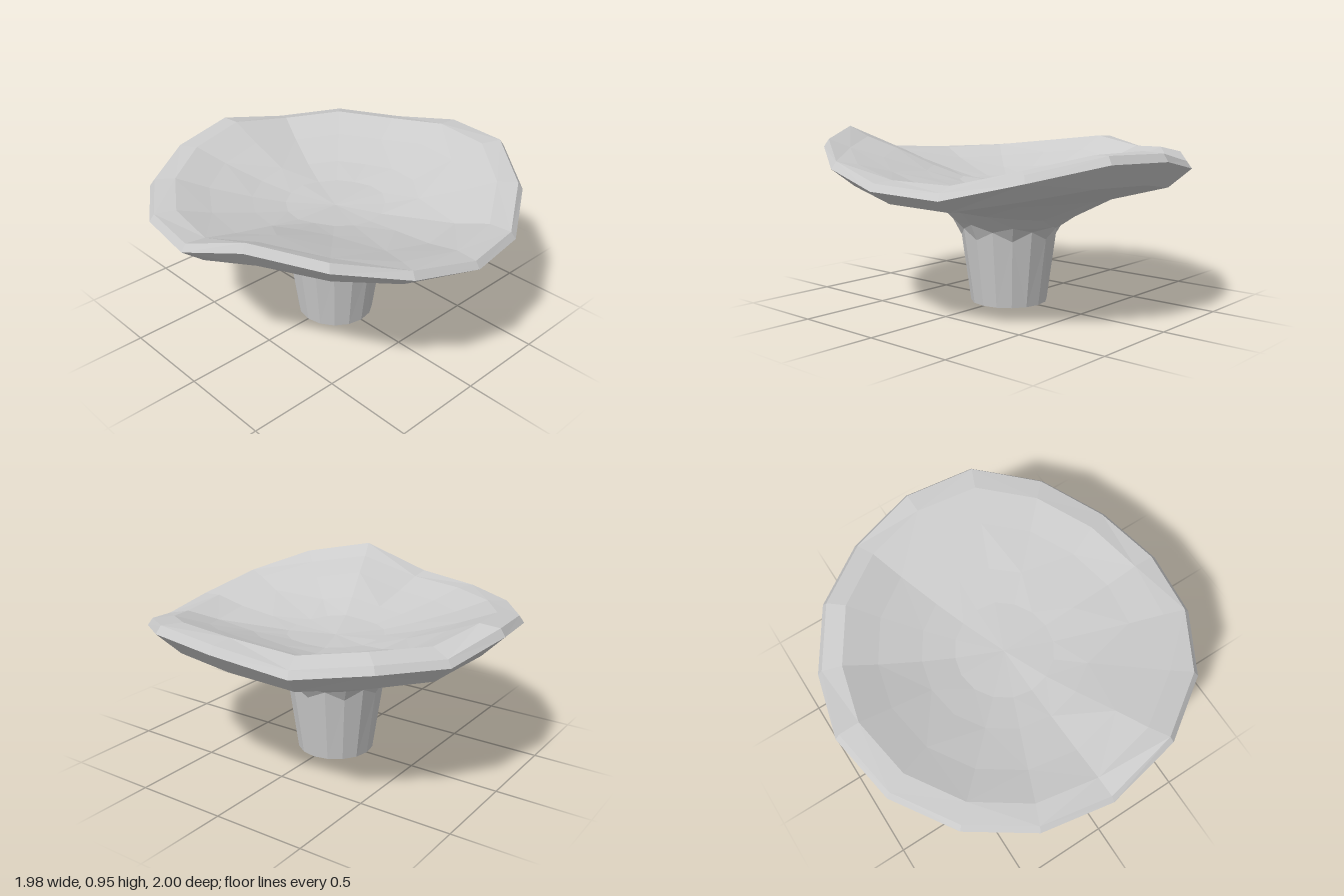
import * as THREE from 'three';

const SIDES = 16;
// Wavy rim of the cap, counterclockwise from +x through the back
const rimY = [0.70, 0.68, 0.765, 0.84, 0.83, 0.765, 0.785, 0.765, 0.83, 0.79, 0.76, 0.755, 0.775, 0.91, 0.86, 0.775];
const rimR = [0.985, 0.99, 1.0, 1.025, 1.0, 0.99, 0.98, 0.975, 0.99, 1.0, 1.0, 1.0, 0.995, 1.0, 1.0, 0.99];

const angle = (i) => (i / SIDES) * Math.PI * 2;

// Skin a list of rings; each ring maps a column index to [radius, height]
function loft(rings) {
  const pos = [], index = [];
  for (const ring of rings) {
    for (let i = 0; i < SIDES; i++) {
      const [r, y] = ring(i);
      pos.push(r * Math.cos(angle(i)), y, -r * Math.sin(angle(i)));
    }
  }
  for (let j = 0; j < rings.length - 1; j++) {
    for (let i = 0; i < SIDES; i++) {
      const n = (i + 1) % SIDES;
      const a = j * SIDES + i, b = j * SIDES + n, c = b + SIDES, d = a + SIDES;
      // alternate the diagonal for an irregular faceted look
      if ((i + j) % 2) index.push(a, b, c, a, c, d);
      else index.push(a, b, d, b, c, d);
    }
  }
  const geo = new THREE.BufferGeometry();
  geo.setAttribute('position', new THREE.Float32BufferAttribute(pos, 3));
  geo.setIndex(index);
  geo.computeVertexNormals();
  return geo;
}

// Ring that follows the rim wave by a given share and tilts up to the front left
const wave = (r, base, share, tilt = 0) => (i) => [
  r * rimR[i],
  base + share * (rimY[i] - 0.68) + tilt * (Math.cos(angle(i)) - Math.sin(angle(i))),
];

export function createModel() {
  const group = new THREE.Group();
  const material = new THREE.MeshStandardMaterial({
    color: 0xcccccc, flatShading: true, side: THREE.DoubleSide,
  });

  // Uneven seam where the stem flares into the cap
  const neck = (i) => [i % 2 ? 0.272 : 0.262, i % 2 ? 0.42 : 0.37];

  // Tapered hollow stem, open at the foot
  const stem = new THREE.Mesh(loft([() => [0.212, 0], neck]), material);
  stem.name = 'stem';

  // Cap: flared underside, thin rim, broad lip, then the hollow upper bowl
  const cap = new THREE.Mesh(loft([
    neck,
    wave(0.31, 0.45, 0, 0.008),
    wave(0.38, 0.51, 0, 0.018),
    wave(0.58, 0.588, 0.15, 0.01),
    wave(0.88, 0.61, 0.7, 0.005),
    wave(1.0, 0.68, 1),
    wave(0.973, 0.715, 1.03),
    wave(0.86, 0.745, 0.75, -0.018),
    wave(0.68, 0.7, 0.62, -0.008),
    wave(0.45, 0.676, 0.28),
    wave(0.27, 0.66, 0.1),
    () => [0, 0.655],
  ]), material);
  cap.name = 'cap';

  group.add(stem, cap);
  return group;
}
